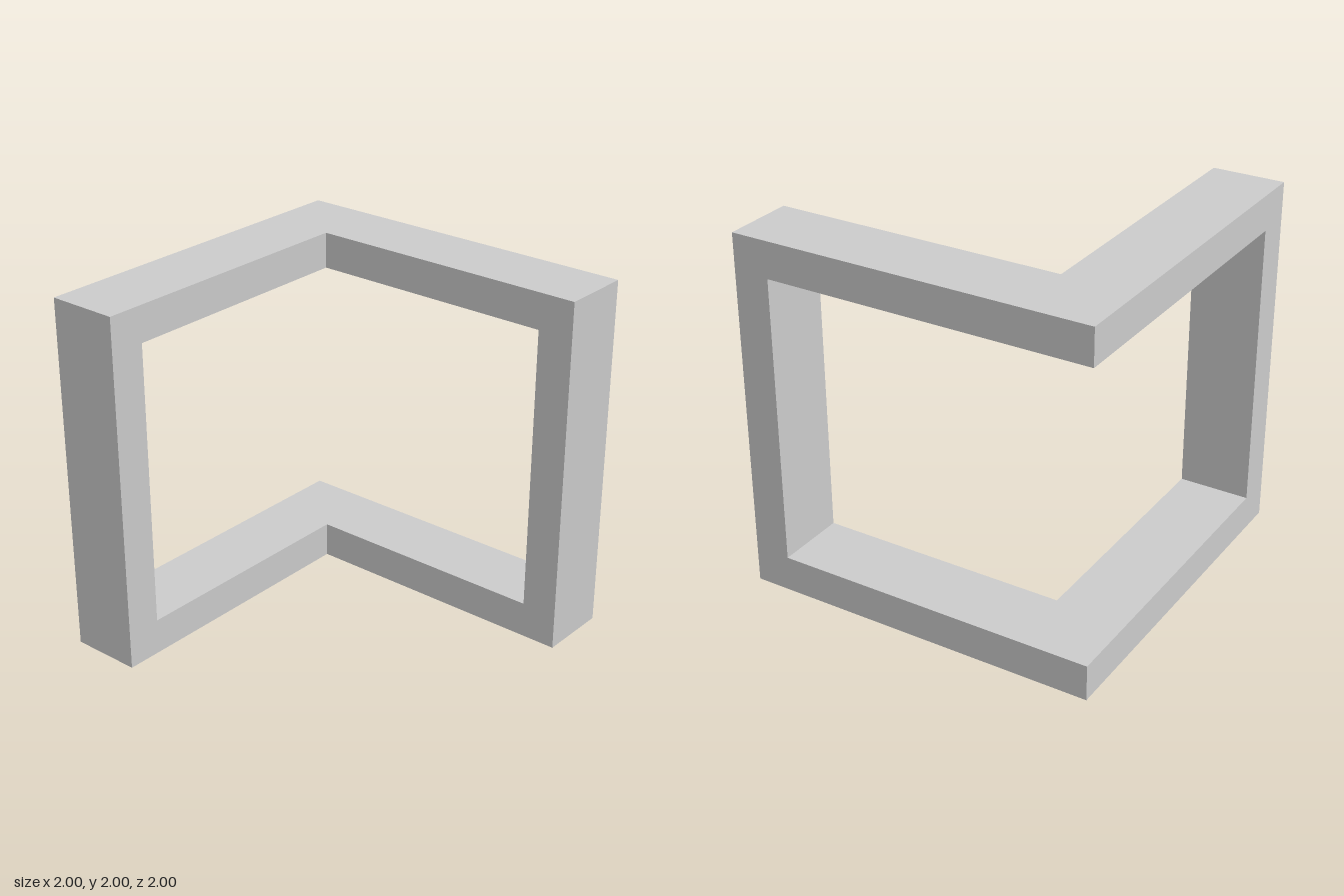
import * as THREE from 'three';

export function createModel() {
  const model = new THREE.Group();
  const material = new THREE.MeshStandardMaterial({ color: 0xcccccc, flatShading: true });
  const bar = 0.2;   // bar thickness
  const depth = 0.4; // bar width seen from above
  const inner = 1 - depth;

  const add = (name, geometry, x, y, z) => {
    const mesh = new THREE.Mesh(geometry, material);
    mesh.name = name;
    mesh.position.set(x, y, z);
    model.add(mesh);
  };

  // L-shaped plates: one arm along the back, one along the left side
  const outline = new THREE.Shape(
    [[-1, 1], [-1, inner], [inner, inner], [inner, -1], [1, -1], [1, 1]]
      .map(([x, y]) => new THREE.Vector2(x, y))
  );
  const plate = new THREE.ExtrudeGeometry(outline, { depth: bar, bevelEnabled: false });
  plate.rotateX(-Math.PI / 2);
  add('bottomPlate', plate, 0, 0, 0);
  add('topPlate', plate, 0, 2 - bar, 0);

  // Posts joining the free ends of the arms
  const height = 2 - 2 * bar;
  const endPos = 1 - bar / 2;
  const sidePos = 1 - depth / 2;
  add('backPost', new THREE.BoxGeometry(bar, height, depth), -endPos, 1, -sidePos);
  add('frontPost', new THREE.BoxGeometry(depth, height, bar), sidePos, 1, endPos);

  return model;
}
